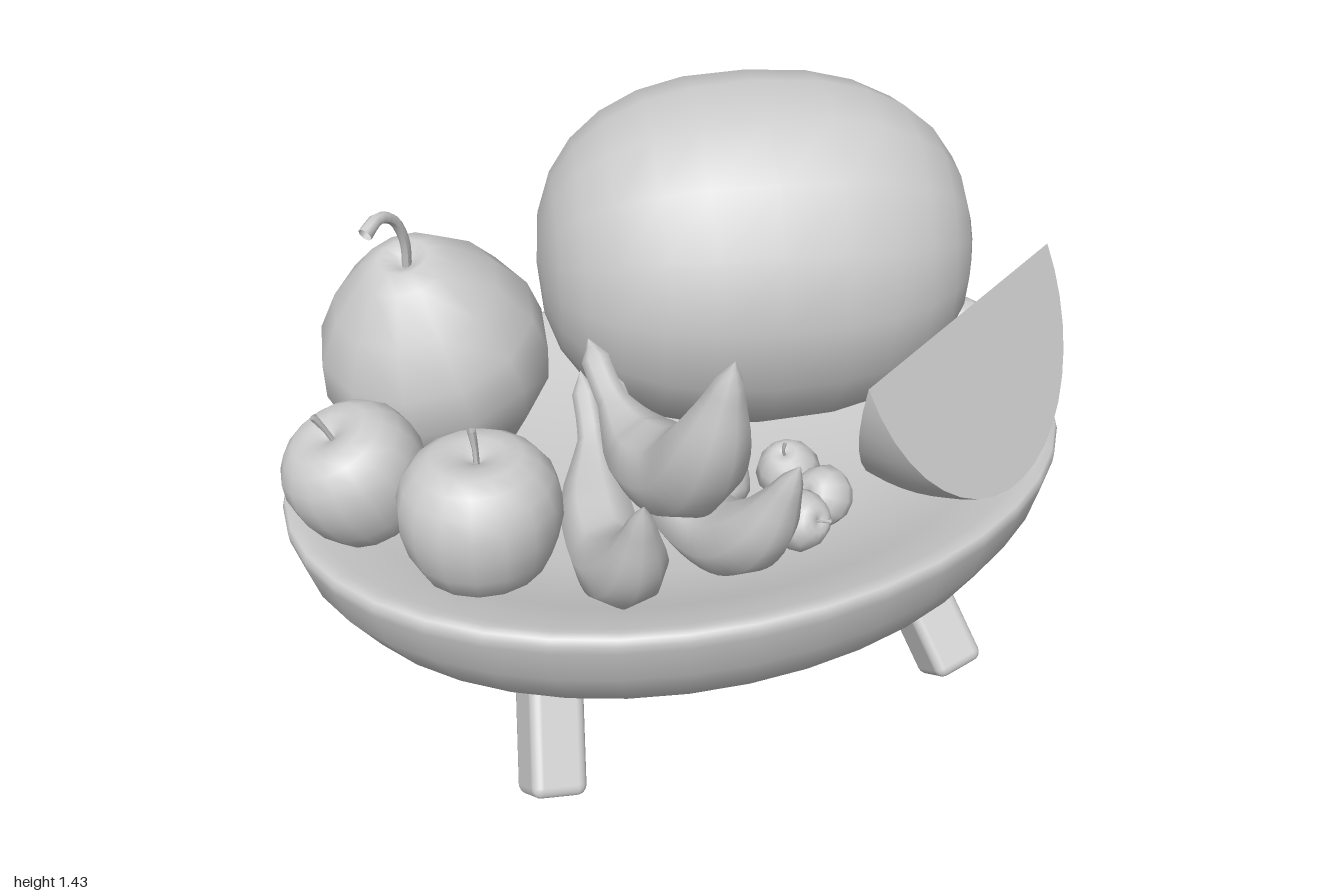
import * as THREE from 'three';
import { RoundedBoxGeometry } from 'three/addons/geometries/RoundedBoxGeometry.js';

const V = (x, y, z) => new THREE.Vector3(x, y, z);
const UP = V(0, 1, 0);

function part(name, geometry) {
  const mesh = new THREE.Mesh(geometry,
    new THREE.MeshStandardMaterial({ color: 0xcccccc, side: THREE.DoubleSide }));
  mesh.name = name;
  return mesh;
}

// Lathe from [radius, height] pairs
function lathe(points, segments) {
  return new THREE.LatheGeometry(points.map(([r, y]) => new THREE.Vector2(r, y)), segments);
}

// Smooth profile through a few points
function smoothProfile(points, n) {
  const curve = new THREE.SplineCurve(points.map(([r, y]) => new THREE.Vector2(r, y)));
  return curve.getPoints(n).map((p) => [Math.max(0, p.x), p.y]);
}

// Tube whose radius follows a list of values along the path
function taperedTube(points, radii, steps, sides) {
  const path = new THREE.CatmullRomCurve3(points);
  const geo = new THREE.TubeGeometry(path, steps, 1, sides);
  const pos = geo.attributes.position;
  const p = new THREE.Vector3();
  for (let i = 0; i <= steps; i++) {
    const c = path.getPointAt(i / steps);
    const f = (i / steps) * (radii.length - 1);
    const k = Math.min(Math.floor(f), radii.length - 2);
    const r = THREE.MathUtils.lerp(radii[k], radii[k + 1], f - k);
    for (let j = 0; j <= sides; j++) {
      const n = i * (sides + 1) + j;
      p.fromBufferAttribute(pos, n).sub(c).multiplyScalar(r).add(c);
      pos.setXYZ(n, p.x, p.y, p.z);
    }
  }
  geo.computeVertexNormals();
  return geo;
}

// Group standing at a position with its own up direction
function place(name, position, up, ...meshes) {
  const g = new THREE.Group();
  g.name = name;
  g.add(...meshes);
  g.position.copy(position);
  g.quaternion.setFromUnitVectors(UP, up.clone().normalize());
  return g;
}

// Oval bowl with a broad rim dipping to a shallow floor
function makeBowl() {
  const bowl = part('bowl', lathe([
    [0, 0.13], [0.14, 0.132], [0.42, 0.182], [0.6, 0.237], [0.77, 0.312], [0.9, 0.4], [0.972, 0.505],
    [0.998, 0.595], [1, 0.615], [0.993, 0.632], [0.97, 0.636], [0.94, 0.627],
    [0.82, 0.603], [0.72, 0.555], [0.5, 0.505], [0.25, 0.48], [0, 0.47],
  ], 40));
  bowl.scale.z = 0.76;
  return bowl;
}

function makeLeg(sx, sz) {
  const top = V(0.492 * sx, 0.27, 0.312 * sz);
  const bottom = V(0.553 * sx, 0.042, 0.478 * sz);
  const axis = top.clone().sub(bottom);
  const leg = part('legBlock', new RoundedBoxGeometry(0.135, axis.length(), 0.142, 3, 0.025));
  return place('leg', top.add(bottom).multiplyScalar(0.5), axis, leg);
}

function makeApple(position, up, size) {
  const body = part('appleBody', lathe(smoothProfile([
    [0, -0.14], [0.06, -0.165], [0.14, -0.125], [0.18, -0.01], [0.165, 0.09], [0.1, 0.15], [0.03, 0.14], [0, 0.12],
  ], 14), 16));
  const stem = part('appleStem', taperedTube(
    [V(0, 0.11, 0), V(0, 0.16, 0), V(-0.005, 0.21, 0)], [0.007, 0.007, 0.01], 4, 6));
  const apple = place('apple', position, up, body, stem);
  apple.scale.setScalar(size);
  return apple;
}

function makePear() {
  const body = part('pearBody', lathe([
    [0, -0.26], [0.1, -0.265], [0.2, -0.205], [0.265, -0.1], [0.283, 0], [0.265, 0.1],
    [0.2, 0.205], [0.11, 0.295], [0.06, 0.318], [0.025, 0.3], [0, 0.285],
  ], 12));
  const stem = part('pearStem', taperedTube(
    [V(0, 0.28, 0), V(0.015, 0.36, 0), V(0.005, 0.43, 0.005), V(-0.03, 0.468, 0.03), V(-0.07, 0.462, 0.06)],
    [0.012, 0.012, 0.013, 0.017], 12, 8));
  return place('pear', V(-0.547, 0.852, -0.272), V(-0.22, 0.95, 0.19), body, stem);
}

function makeBananas() {
  const g = new THREE.Group();
  g.name = 'bananaBunch';
  const radii = [0, 0.036, 0.037, 0.04, 0.062, 0.085, 0.1, 0.105, 0.106,
    0.105, 0.104, 0.101, 0.095, 0.084, 0.068, 0.048, 0.03, 0];
  const paths = [
    [V(-0.24, 0.95, -0.02), V(-0.235, 0.86, 0.1), V(-0.215, 0.79, 0.26), V(-0.2, 0.84, 0.44),
      V(-0.195, 1, 0.575), V(-0.18, 1.23, 0.65)],
    [V(-0.27, 0.88, 0), V(-0.285, 0.77, 0.1), V(-0.335, 0.66, 0.26), V(-0.365, 0.64, 0.43),
      V(-0.378, 0.75, 0.585), V(-0.395, 0.97, 0.69)],
    [V(-0.21, 0.88, 0), V(-0.19, 0.77, 0.1), V(-0.145, 0.66, 0.26), V(-0.105, 0.64, 0.43),
      V(-0.08, 0.75, 0.585), V(-0.045, 0.97, 0.69)],
  ];
  paths.forEach((p, i) => g.add(part('banana',
    taperedTube(p, radii.map((r) => r * (i ? 0.87 : 1)), 34, 8))));
  return g;
}

// Blunt-ended melon: a superellipse turned about its long axis
function makeMelon() {
  const profile = [];
  for (let i = 0; i <= 14; i++) {
    const a = (i / 14) * Math.PI - Math.PI / 2;
    const s = Math.sin(a);
    profile.push([
      0.457 * Math.pow(Math.max(0, Math.cos(a)), 2 / 2.4),
      0.56 * Math.sign(s) * Math.pow(Math.abs(s), 2 / 2.4),
    ]);
  }
  const melon = part('wholeMelon', lathe(profile, 16).rotateZ(Math.PI / 2));
  melon.position.set(0.305, 0.975, -0.245);
  melon.rotation.y = -0.28;
  return melon;
}

// Wedge: two half-disc faces meeting at a level top edge, closed by a rind
function makeMelonSlice() {
  const R = 0.44, front = 0.46, back = 0.2;
  const g = new THREE.Group();
  g.name = 'melonSlice';
  g.add(part('rind', new THREE.SphereGeometry(R, 6, 20, -back, front + back).rotateZ(Math.PI / 2)));
  for (const lean of [front, -back]) {
    const face = part('cutFace', new THREE.CircleGeometry(R, 20, Math.PI, Math.PI));
    face.rotation.x = -lean;
    g.add(face);
  }
  g.position.set(0.555, 1.04, 0.365);
  g.rotation.y = 0.515;
  return g;
}

function makeCherry(x, y, z, r, up) {
  const body = part('cherryBody', lathe(smoothProfile([
    [0, -0.9], [0.5, -0.85], [1, 0], [0.6, 0.78], [0.2, 0.86], [0, 0.75],
  ].map(([a, b]) => [a * r, b * r]), 10), 12));
  const stem = part('cherryStem', taperedTube(
    [V(0, 0.7 * r, 0), V(0, r, 0), V(0.1 * r, 1.25 * r, 0)], [0.004, 0.004, 0.005], 3, 5));
  return place('cherry', V(x, y, z), up, body, stem);
}

export function createModel() {
  const model = new THREE.Group();
  model.name = 'fruitBowl';
  model.add(makeBowl());
  for (const sx of [-1, 1]) for (const sz of [-1, 1]) model.add(makeLeg(sx, sz));
  model.add(
    makeMelon(),
    makeMelonSlice(),
    makePear(),
    makeApple(V(-0.63, 0.79, 0.33), V(0, 1, 0), 1),
    makeApple(V(-0.835, 0.78, 0.06), V(-0.4, 0.92, 0.02), 0.9),
    makeBananas(),
  );
  // Cherries: x, y, z, radius, stem direction
  [
    [0.085, 0.645, 0.465, 0.075, V(0.3, 0.4, 0.8)],
    [0.205, 0.61, 0.36, 0.077, V(-0.8, 0.5, 0.2)],
    [0.03, 0.57, 0.15, 0.08, V(0.2, 0.9, 0.3)],
    [0.2, 0.58, 0.19, 0.082, V(-0.3, 0.9, 0.2)],
    [0.86, 0.71, 0.1, 0.077, V(-0.9, 0.2, 0.3)],
    [0.86, 0.71, -0.08, 0.08, V(0.3, 0.2, -0.9)],
  ].forEach((c) => model.add(makeCherry(...c)));
  return model;
}
